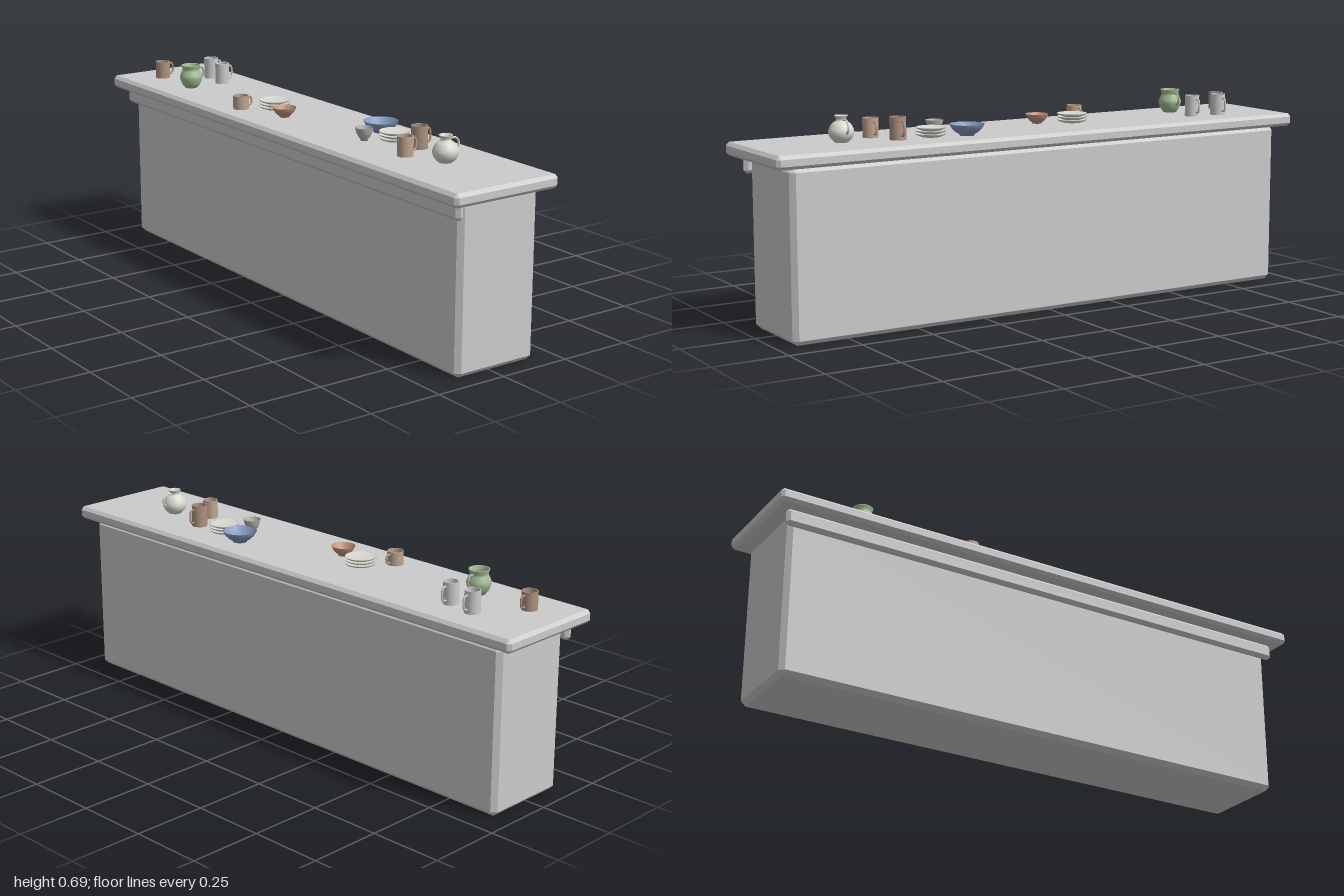
import * as THREE from 'three';
import { ConvexGeometry } from 'three/addons/geometries/ConvexGeometry.js';

const TOP = 0.6; // worktop height

const material = (color) => new THREE.MeshStandardMaterial({ color, side: THREE.DoubleSide });

// Box between two corners with every edge chamfered by c
function chamferBox(name, min, max, c) {
  const points = [];
  for (let i = 0; i < 8; i++) {
    const high = [i & 1, i & 2, i & 4];
    for (let flat = 0; flat < 3; flat++) {
      const p = high.map((h, a) => {
        const inset = a === flat ? 0 : c;
        return h ? max[a] - inset : min[a] + inset;
      });
      points.push(new THREE.Vector3(...p));
    }
  }
  const mesh = new THREE.Mesh(
    new ConvexGeometry(points),
    new THREE.MeshStandardMaterial({ color: 0xcccccc, flatShading: true })
  );
  mesh.name = name;
  return mesh;
}

// Turned piece from [radius, height] pairs
function turned(name, profile, mat) {
  const pts = profile.map(([r, y]) => new THREE.Vector2(r, y));
  const mesh = new THREE.Mesh(new THREE.LatheGeometry(pts, 28), mat);
  mesh.name = name;
  return mesh;
}

// Loop handle on the +x side, from [x, y] points
function handle(points, mat) {
  const curve = new THREE.CatmullRomCurve3(points.map(([x, y]) => new THREE.Vector3(x, y, 0)));
  const mesh = new THREE.Mesh(new THREE.TubeGeometry(curve, 16, 0.0035, 8), mat);
  mesh.name = 'handle';
  return mesh;
}

function vessel(name, x, z, ...parts) {
  const group = new THREE.Group();
  group.name = name;
  group.add(...parts);
  group.position.set(x, TOP, z);
  return group;
}

// Straight-sided mug, hollow
function mug(x, z, r, h, color) {
  const m = material(color);
  const t = 0.003;
  return vessel('mug', x, z,
    turned('mugCup', [[0, 0], [r, 0], [r, 0], [r, h], [r, h], [r - t, h], [r - t, h], [r - t, 0.006], [r - t, 0.006], [0, 0.006]], m),
    handle([[r - 0.002, h * 0.82], [r + 0.012, h * 0.8], [r + 0.017, h * 0.5], [r + 0.012, h * 0.23], [r - 0.002, h * 0.2]], m));
}

// Footed bowl with flared sides
function bowl(x, z, r, h, color) {
  const outer = [[0, 0], [0.42 * r, 0], [0.42 * r, 0.1 * h], [0.66 * r, 0.32 * h], [0.86 * r, 0.62 * h], [r, h]];
  const inner = [[0.95 * r, h], [0.81 * r, 0.64 * h], [0.6 * r, 0.36 * h], [0.36 * r, 0.2 * h], [0, 0.17 * h]];
  return vessel('bowl', x, z, turned('bowlShell', [...outer, ...inner], material(color)));
}

// Stack of three shallow plates
function plates(x, z, r) {
  const m = material(0xd8d8d0);
  const stack = [0, 1, 2].map((i) => {
    const plate = turned('plate', [[0, 0], [0.6 * r, 0], [0.92 * r, 0.006], [r, 0.011], [0.96 * r, 0.0115], [0.66 * r, 0.0065], [0, 0.006]], m);
    plate.position.y = i * 0.0105;
    return plate;
  });
  return vessel('plateStack', x, z, ...stack);
}

// Turned jug: smooth outer wall, inset inner wall, side handle
function jug(name, x, z, outline, grip, color) {
  const m = material(color);
  const curve = new THREE.SplineCurve(outline.map(([r, y]) => new THREE.Vector2(r, y)));
  const outer = curve.getPoints(24).map((p) => [p.x, p.y]);
  const inner = [...outer].reverse().map(([r, y]) => [r - 0.003, Math.max(y, 0.005)]);
  return vessel(name, x, z,
    turned('jugBody', [[0, 0], ...outer, ...inner, [0, 0.005]], m),
    handle(grip, m));
}

export function createModel() {
  const model = new THREE.Group();
  model.name = 'counter';

  // Counter
  model.add(
    chamferBox('counterBody', [-0.135, 0, -0.943], [0.171, 0.557, 0.943], 0.016),
    chamferBox('worktop', [-0.2, 0.556, -1], [0.2, TOP, 1], 0.011),
    chamferBox('rail', [-0.16, 0.501, -0.96], [-0.132, 0.557, 0.96], 0.011)
  );

  // Mugs: x, z, radius, height, colour
  const brown = 0xae9280, tan = 0xbfa48f, pale = 0xc6c7c6;
  for (const spec of [
    [-0.065, -0.862, 0.026, 0.06, brown],
    [0.08, -0.757, 0.026, 0.073, pale],
    [0.063, -0.656, 0.025, 0.073, pale],
    [-0.107, -0.27, 0.027, 0.046, tan],
    [0.052, 0.512, 0.027, 0.074, brown],
    [-0.043, 0.561, 0.026, 0.064, tan]
  ]) model.add(mug(...spec));

  // Bowls: x, z, radius, height, colour
  for (const spec of [
    [-0.055, -0.083, 0.04, 0.033, 0xc2937d],
    [0.082, 0.274, 0.058, 0.038, 0x8499c0],
    [-0.03, 0.332, 0.03, 0.043, 0xb4b5b0]
  ]) model.add(bowl(...spec));

  // Plates
  model.add(plates(-0.015, -0.2, 0.052), plates(0.048, 0.389, 0.05));

  // Jugs
  model.add(
    jug('greenJug', -0.069, -0.657,
      [[0.022, 0], [0.033, 0.015], [0.04, 0.038], [0.034, 0.056], [0.03, 0.066], [0.034, 0.082]],
      [[0.03, 0.068], [0.045, 0.068], [0.053, 0.052], [0.049, 0.036], [0.036, 0.026]], 0xa3bb95),
    jug('paleJug', 0.01, 0.692,
      [[0.022, 0], [0.037, 0.017], [0.041, 0.037], [0.031, 0.058], [0.016, 0.071], [0.022, 0.086]],
      [[0.016, 0.072], [0.036, 0.073], [0.05, 0.061], [0.052, 0.044], [0.038, 0.03]], 0xdad8d0)
  );

  return model;
}
